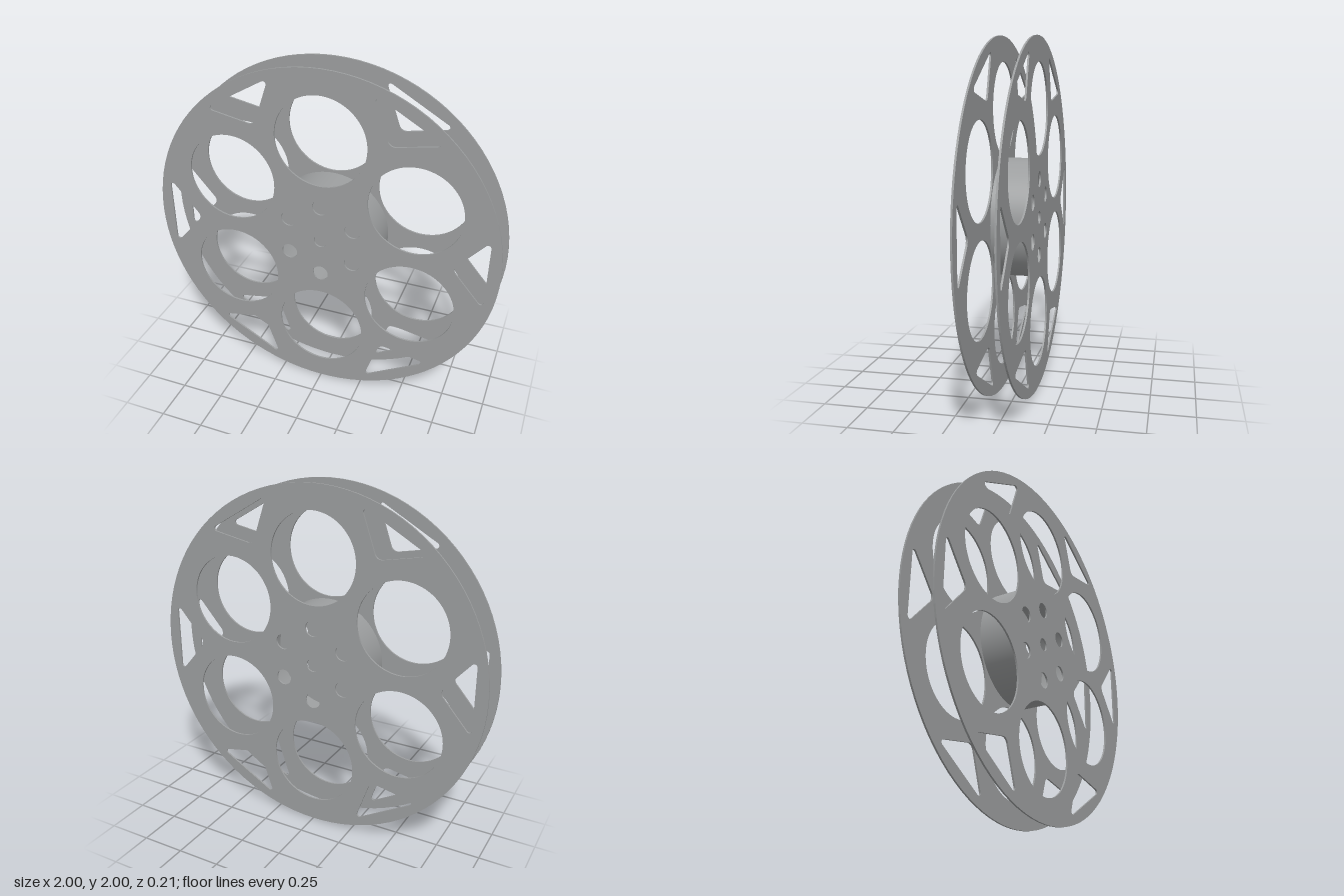
import * as THREE from 'three';

const FLANGE_Z = 0.1, FLANGE_T = 0.01, SPOKES = 6;

// Circular hole at polar position (distance, angle)
function roundHole(distance, angle, radius) {
  const p = new THREE.Path();
  p.absarc(distance * Math.cos(angle), distance * Math.sin(angle), radius, 0, Math.PI * 2, false);
  return p;
}

// Rounded triangular cut-out near the rim, apex pointing to the centre
function rimHole(angle) {
  const normal = THREE.MathUtils.degToRad(139); // outward normal of the upper sloped side
  const corners = [
    [0.914, 0.174, 0.016, 0, normal],
    [0.795, 0, 0.04, normal, 2 * Math.PI - normal],
    [0.914, -0.174, 0.016, 2 * Math.PI - normal, 2 * Math.PI],
  ];
  const c = Math.cos(angle), s = Math.sin(angle), p = new THREE.Path();
  for (const [u, v, r, from, to] of corners) {
    p.absarc(u * c - v * s, u * s + v * c, r, from + angle, to + angle, false);
  }
  p.closePath();
  return p;
}

export function createModel() {
  const model = new THREE.Group();
  model.name = 'filmReel';
  const metal = new THREE.MeshStandardMaterial({ color: 0x9c9e9f });
  metal.name = 'grey metal';
  const hubMetal = metal.clone();
  hubMetal.name = 'grey metal open shell';
  hubMetal.side = THREE.DoubleSide;

  // Flange outline with its holes
  const disc = new THREE.Shape();
  disc.absarc(0, 0, 1, 0, Math.PI * 2, false);
  disc.holes.push(roundHole(0, 0, 0.037));
  for (let i = 0; i < SPOKES; i++) {
    const a = (i * 2 * Math.PI) / SPOKES;
    disc.holes.push(roundHole(0.605, a + Math.PI / 6, 0.257));
    disc.holes.push(roundHole(0.216, a + Math.PI / 6, 0.045));
    disc.holes.push(rimHole(a));
  }
  const flangeGeo = new THREE.ExtrudeGeometry(disc, { depth: FLANGE_T, bevelEnabled: false, curveSegments: 48 });
  flangeGeo.translate(0, 0, -FLANGE_T / 2);

  // Front and back flanges
  for (const [name, side] of [['frontFlange', 1], ['backFlange', -1]]) {
    const flange = new THREE.Mesh(flangeGeo, metal);
    flange.name = name;
    flange.position.set(0, 1, side * FLANGE_Z);
    model.add(flange);
  }

  // Hollow hub between the flanges
  const hubGeo = new THREE.CylinderGeometry(0.333, 0.333, 2 * FLANGE_Z - FLANGE_T, 96, 1, true);
  hubGeo.rotateX(Math.PI / 2);
  const hub = new THREE.Mesh(hubGeo, hubMetal);
  hub.name = 'hub';
  hub.position.y = 1;
  model.add(hub);

  return model;
}
